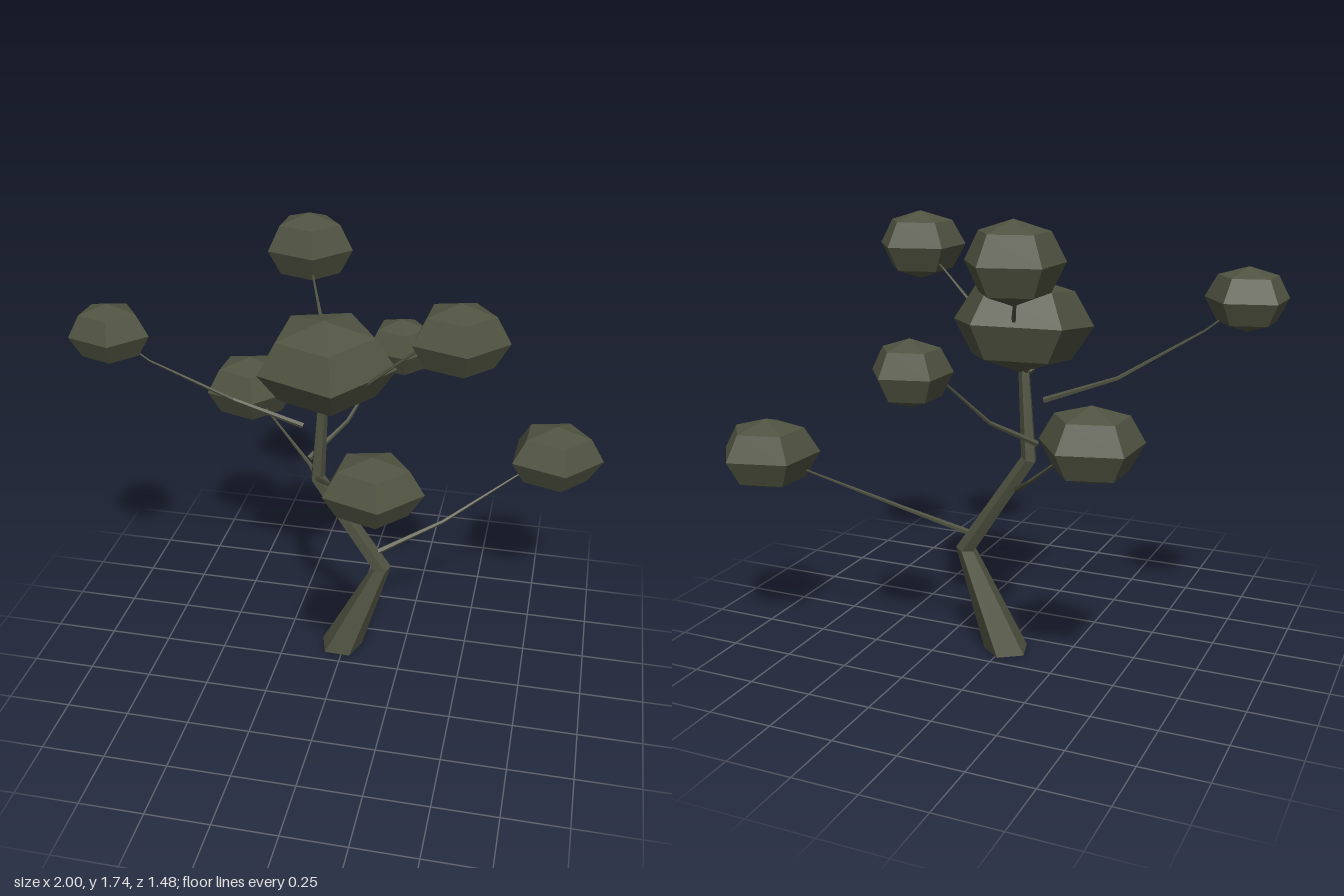
import * as THREE from 'three';

const SIDES = 5;

// Duplicate vertices so every face is flat
function facet(geometry) {
  const g = geometry.toNonIndexed();
  g.computeVertexNormals();
  return g;
}

// Tapered five-sided limb through points; each point is [x, y, z, radius]
function limb(points, turn, startDir) {
  const p = points.map(([x, y, z]) => new THREE.Vector3(x, y, z));
  const n = p.length;
  const verts = [];
  const index = [];
  const up = new THREE.Vector3(0, 1, 0);
  p.forEach((c, i) => {
    const dir = new THREE.Vector3();
    if (i > 0) dir.add(p[i].clone().sub(p[i - 1]).normalize());
    if (i < n - 1) dir.add(p[i + 1].clone().sub(p[i]).normalize());
    if (i === 0 && startDir) dir.copy(startDir);
    const q = new THREE.Quaternion().setFromUnitVectors(up, dir.normalize());
    for (let k = 0; k < SIDES; k++) {
      const a = turn + (k / SIDES) * Math.PI * 2;
      const r = points[i][3];
      const v = new THREE.Vector3(Math.cos(a) * r, 0, Math.sin(a) * r).applyQuaternion(q).add(c);
      verts.push(v.x, v.y, v.z);
    }
  });
  for (let i = 0; i < n - 1; i++) {
    for (let k = 0; k < SIDES; k++) {
      const a = i * SIDES + k;
      const b = i * SIDES + ((k + 1) % SIDES);
      index.push(a, a + SIDES, b, b, a + SIDES, b + SIDES);
    }
  }
  // End caps
  const last = (n - 1) * SIDES;
  for (let k = 1; k < SIDES - 1; k++) {
    index.push(0, k, k + 1, last, last + k + 1, last + k);
  }
  const g = new THREE.BufferGeometry();
  g.setAttribute('position', new THREE.Float32BufferAttribute(verts, 3));
  g.setIndex(index);
  return facet(g);
}

// Faceted leaf clump with a corner towards +x
function clump(r, ry) {
  const g = new THREE.SphereGeometry(1, SIDES, 4);
  g.rotateY(Math.PI - 0.04);
  g.scale(r * 1.06, ry, r * 0.97);
  return facet(g);
}

export function createModel() {
  const tree = new THREE.Group();
  tree.name = 'tree';
  const olive = new THREE.MeshStandardMaterial({ color: 0x505341 });
  olive.name = 'dark olive';

  const add = (name, geometry) => {
    const mesh = new THREE.Mesh(geometry, olive);
    mesh.name = name;
    tree.add(mesh);
    return mesh;
  };

  // Crooked trunk
  add('trunk', limb([
    [-0.015, 0, -0.12, 0.09],
    [0.15, 0.405, -0.137, 0.04],
    [-0.115, 0.8, -0.138, 0.031],
    [-0.085, 1.22, -0.127, 0.02],
  ], -0.28, new THREE.Vector3(0, 1, 0)));

  // Crown on top of the trunk
  const crown = add('crown', clump(0.262, 0.177));
  crown.position.set(-0.08, 1.308, -0.13);
  crown.rotation.x = 0.12;

  // Boughs: branch start, bend, end, then the clump centre, radius and half height
  const boughs = [
    ['lowLeft', [0.12, 0.47, -0.14], [0.38, 0.585, -0.255], [0.65, 0.735, -0.425], [0.80, 0.812, -0.49], 0.187, 0.135],
    ['farRight', [-0.17, 1.03, -0.13], [-0.44, 1.13, -0.1], [-0.73, 1.31, 0.0], [-0.868, 1.425, 0.03], 0.148, 0.115],
    ['lowRight', [-0.07, 0.68, -0.15], [-0.18, 0.765, -0.29], [-0.38, 0.93, -0.4], [-0.487, 0.995, -0.5], 0.18, 0.135],
    ['front', [-0.11, 0.805, -0.12], [0.0, 0.935, 0.14], [0.17, 1.14, 0.42], [0.235, 1.198, 0.58], 0.167, 0.118],
    ['back', [-0.155, 0.87, -0.16], [-0.03, 0.975, -0.31], [0.07, 1.15, -0.47], [0.138, 1.2, -0.583], 0.143, 0.12],
    ['highLeft', [-0.12, 1.13, -0.12], [0.1, 1.28, -0.03], [0.31, 1.47, 0.02], [0.445, 1.545, 0.1], 0.17, 0.132],
    ['top', [-0.1, 1.13, -0.13], [-0.13, 1.36, -0.32], [-0.2, 1.51, -0.46], [-0.245, 1.595, -0.588], 0.168, 0.14],
  ];
  for (const [name, start, bend, end, centre, r, ry] of boughs) {
    add(name + 'Branch', limb([
      [...start, 0.012], [...bend, 0.008], [...end, 0.004], [...centre, 0.003],
    ], 0));
    add(name + 'Foliage', clump(r, ry)).position.set(...centre);
  }
  return tree;
}
